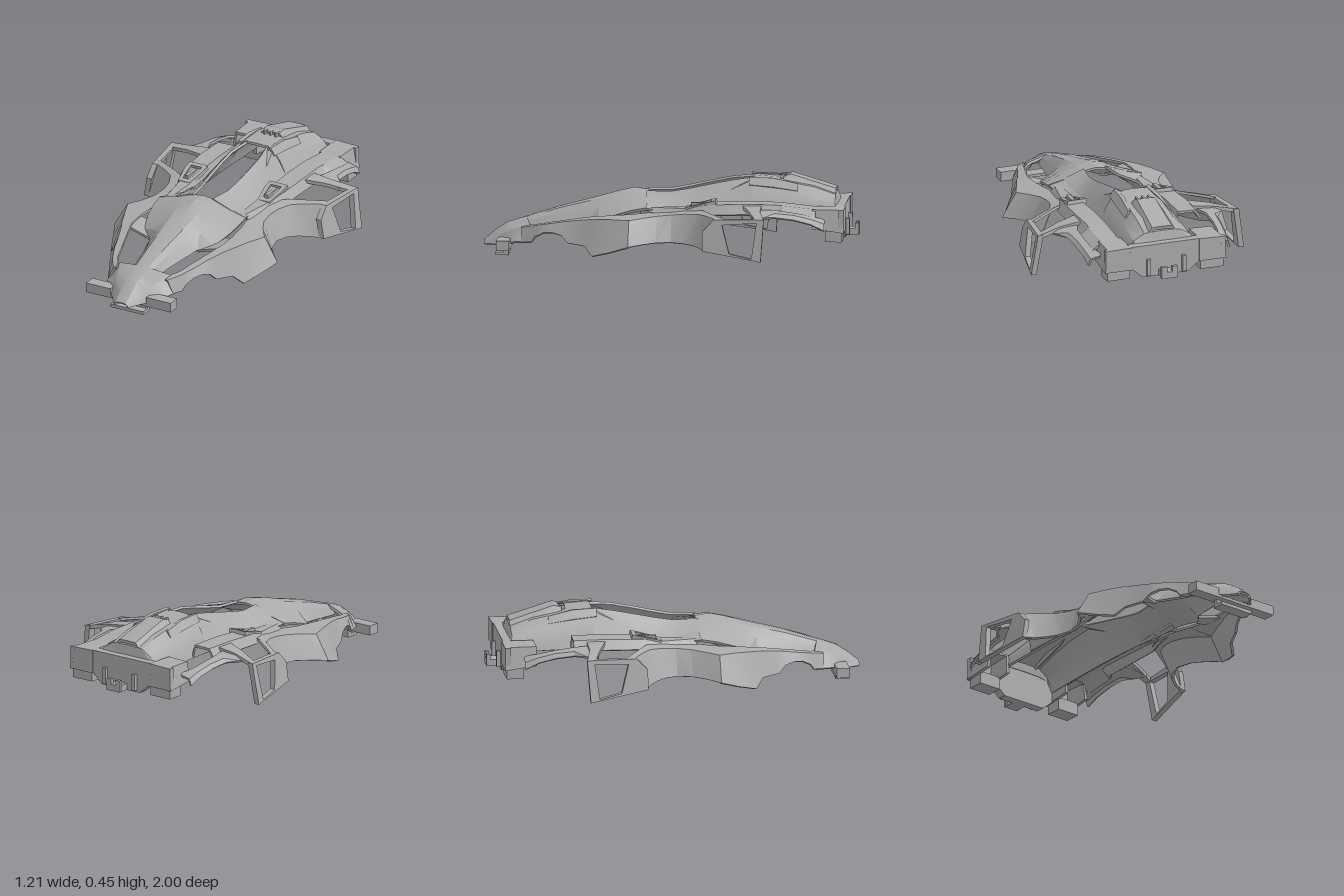
import * as THREE from 'three';
import { toCreasedNormals } from 'three/addons/utils/BufferGeometryUtils.js';

const bodyGrey = new THREE.MeshStandardMaterial({ color: 0xaaaaaa, side: THREE.DoubleSide });
bodyGrey.name = 'body grey';

// Thin sheet with thickness, lofted through rows of [x, y, z] points (rows run backwards, points outwards)
function shell(rows, t = 0.014) {
  const n = rows.length, m = rows[0].length, count = n * m;
  const pos = rows.flat(2), index = [];
  for (let i = 0; i < n - 1; i++) for (let j = 0; j < m - 1; j++) {
    const a = i * m + j, b = a + 1, c = a + m, d = c + 1;
    index.push(a, b, c, b, d, c);
  }
  const top = new THREE.BufferGeometry();
  top.setAttribute('position', new THREE.Float32BufferAttribute(pos, 3));
  top.setIndex(index);
  top.computeVertexNormals();
  const nor = top.attributes.normal.array;
  const all = [...pos, ...pos.map((v, k) => v - nor[k] * t)];
  const faces = [...index];
  for (let k = 0; k < index.length; k += 3) faces.push(index[k] + count, index[k + 2] + count, index[k + 1] + count);
  // rim around the border
  const border = [];
  for (let j = 0; j < m - 1; j++) border.push(j);
  for (let i = 0; i < n - 1; i++) border.push(i * m + m - 1);
  for (let j = m - 1; j > 0; j--) border.push((n - 1) * m + j);
  for (let i = n - 1; i > 0; i--) border.push(i * m);
  border.forEach((a, k) => {
    const b = border[(k + 1) % border.length];
    faces.push(a, a + count, b, b, a + count, b + count);
  });
  const g = new THREE.BufferGeometry();
  g.setAttribute('position', new THREE.Float32BufferAttribute(all, 3));
  g.setIndex(faces);
  return g;
}

// Rows given as [z, x1, y1, x2, y2, ...]
const sections = (list) => list.map(([z, ...p]) => {
  const row = [];
  for (let k = 0; k < p.length; k += 2) row.push([p[k], p[k + 1], z]);
  return row;
});
// Complete a half section across the centre line
const full = (rows) => rows.map((r) => [...r.slice(1).reverse().map(([x, y, z]) => [-x, y, z]), ...r]);

function mirrored(geo) {
  const g = geo.index ? geo.toNonIndexed() : geo.clone();
  const p = g.attributes.position;
  for (let i = 0; i < p.count; i += 3) {
    const v = [0, 2, 1].map((k) => [-p.getX(i + k), p.getY(i + k), p.getZ(i + k)]);
    v.forEach((q, k) => p.setXYZ(i + k, ...q));
  }
  return g;
}
const poly = (Type, pts) => new Type(pts.map(([x, y]) => new THREE.Vector2(x, y)));
const box = (x0, x1, y0, y1, z0, z1) => new THREE.BoxGeometry(x1 - x0, y1 - y0, z1 - z0)
  .translate((x0 + x1) / 2, (y0 + y1) / 2, (z0 + z1) / 2);

export function createModel() {
  const model = new THREE.Group();
  model.name = 'raceCarBodyShell';
  const add = (name, geo) => {
    const mesh = new THREE.Mesh(toCreasedNormals(geo, 0.33), bodyGrey);
    mesh.name = name;
    model.add(mesh);
  };
  const pair = (name, geo) => { add(name + 'Left', geo); add(name + 'Right', mirrored(geo)); };

  // Nose and tapering spine
  add('noseCone', shell(full([
    ...sections([
      [1.0, 0, 0.075, 0.03, 0.072, 0.038, 0.065, 0.045, 0.055],
      [0.94, 0, 0.125, 0.033, 0.12, 0.065, 0.09, 0.085, 0.058],
      [0.88, 0, 0.165, 0.035, 0.16, 0.1, 0.125, 0.14, 0.07],
      [0.83, 0, 0.182, 0.036, 0.178, 0.12, 0.15, 0.185, 0.085]]),
    [[0, 0.2, 0.77], [0.038, 0.197, 0.77], [0.15, 0.173, 0.745], [0.217, 0.09, 0.745]]])));
  add('spine', shell(full(sections([
    [0.79, 0, 0.194, 0.036, 0.19, 0.055, 0.175, 0.07, 0.14],
    [0.6, 0, 0.255, 0.046, 0.25, 0.075, 0.22, 0.105, 0.165],
    [0.44, 0, 0.297, 0.056, 0.29, 0.1, 0.25, 0.145, 0.19],
    [0.38, 0, 0.313, 0.06, 0.305, 0.125, 0.262, 0.215, 0.21],
    [0.28, 0, 0.342, 0.066, 0.33, 0.14, 0.29, 0.25, 0.245],
    [0.2, 0, 0.36, 0.07, 0.345, 0.15, 0.308, 0.262, 0.27],
    [0.12, 0, 0.35, 0.075, 0.34, 0.155, 0.312, 0.265, 0.285]]))));

  // Front bumper and its lower bracket
  add('bumperBar', box(-0.26, 0.26, 0.045, 0.06, 0.85, 0.92));
  pair('bumperPad', box(0.11, 0.26, 0.045, 0.098, 0.85, 0.92));
  add('bracketStem', box(-0.1, 0.1, 0.01, 0.05, 0.865, 0.89));
  add('bracketFoot', box(-0.1, 0.1, 0, 0.018, 0.865, 0.935));

  // Front fenders with wheel cutouts
  pair('frontFender', shell(sections([
    [0.79, 0.15, 0.163, 0.165, 0.16, 0.2, 0.09],
    [0.735, 0.17, 0.178, 0.205, 0.173, 0.228, 0.09],
    [0.715, 0.185, 0.181, 0.215, 0.177, 0.236, 0.12],
    [0.67, 0.2, 0.189, 0.235, 0.187, 0.257, 0.145],
    [0.62, 0.213, 0.199, 0.255, 0.196, 0.28, 0.15],
    [0.57, 0.23, 0.208, 0.27, 0.206, 0.302, 0.138],
    [0.535, 0.24, 0.215, 0.283, 0.212, 0.32, 0.1],
    [0.44, 0.268, 0.232, 0.32, 0.225, 0.365, 0.09],
    [0.4, 0.278, 0.238, 0.34, 0.23, 0.41, 0.042],
    [0.3, 0.28, 0.245, 0.38, 0.236, 0.455, 0.07],
    [0.2, 0.27, 0.25, 0.42, 0.237, 0.5, 0.105]])));
  pair('fenderBridge', shell(sections([
    [0.43, 0.14, 0.187, 0.285, 0.23], [0.36, 0.19, 0.21, 0.295, 0.236], [0.3, 0.235, 0.228, 0.295, 0.24]])));

  // Concave waist panels ending in the raked front wall of the side pod
  pair('waistPanel', shell([
    ...sections([
      [0.2, 0.27, 0.25, 0.42, 0.237, 0.5, 0.105],
      [0.13, 0.26, 0.257, 0.37, 0.243, 0.435, 0.11],
      [0.06, 0.25, 0.262, 0.335, 0.25, 0.39, 0.115],
      [-0.02, 0.25, 0.268, 0.325, 0.257, 0.37, 0.115],
      [-0.09, 0.27, 0.275, 0.335, 0.263, 0.39, 0.112]]),
    [[0.3, 0.28, -0.16], [0.37, 0.268, -0.165], [0.43, 0.107, -0.14]],
    [[0.34, 0.284, -0.19], [0.43, 0.268, -0.21], [0.48, 0.1, -0.18]],
    [[0.47, 0.272, -0.275], [0.51, 0.262, -0.265], [0.552, 0.095, -0.205]],
    [[0.52, 0.266, -0.31], [0.53, 0.26, -0.31], [0.56, 0.09, -0.25]]]));

  // Side pod frames with an open window, leaning outwards at the foot
  const frame = poly(THREE.Shape, [[0.2, 0.095], [0.515, 0.045], [0.53, 0.27], [0.26, 0.262], [0.2, 0.2]]);
  frame.holes.push(poly(THREE.Path, [[0.305, 0.235], [0.49, 0.25], [0.465, 0.06], [0.345, 0.085]]));
  const frameGeo = new THREE.ExtrudeGeometry(frame, { depth: 0.03, bevelEnabled: false });
  const fp = frameGeo.attributes.position;
  for (let i = 0; i < fp.count; i++) {
    const s = fp.getX(i), y = fp.getY(i), d = fp.getZ(i);
    fp.setXYZ(i, 0.53 + 0.14 * (s - 0.2) - 0.16 * (y - 0.05) + d, y, -s);
  }
  pair('podFrame', frameGeo);
  pair('podArm', shell([
    [[0.32, 0.308, -0.4], [0.43, 0.295, -0.44], [0.545, 0.268, -0.48]],
    [[0.32, 0.308, -0.5], [0.43, 0.294, -0.5], [0.575, 0.268, -0.53]]], 0.02));

  // Rear wheel arch strips
  pair('rearArch', shell(sections([
    [-0.46, 0.33, 0.288, 0.44, 0.283, 0.5, 0.27],
    [-0.52, 0.345, 0.292, 0.43, 0.285, 0.475, 0.268],
    [-0.58, 0.365, 0.293, 0.415, 0.283, 0.432, 0.263],
    [-0.68, 0.367, 0.28, 0.405, 0.272, 0.422, 0.25],
    [-0.77, 0.36, 0.262, 0.398, 0.25, 0.412, 0.225],
    [-0.84, 0.32, 0.24, 0.39, 0.225, 0.405, 0.19]])));

  // Cockpit flanks either side of the opening
  pair('cockpitFlank', shell(sections([
    [0.13, 0.062, 0.35, 0.1, 0.335, 0.18, 0.305, 0.265, 0.285],
    [0, 0.08, 0.35, 0.115, 0.325, 0.17, 0.285, 0.23, 0.26],
    [-0.1, 0.087, 0.368, 0.12, 0.335, 0.165, 0.285, 0.21, 0.25],
    [-0.2, 0.09, 0.39, 0.125, 0.352, 0.165, 0.287, 0.2, 0.245],
    [-0.32, 0.088, 0.414, 0.13, 0.367, 0.168, 0.292, 0.2, 0.245],
    [-0.45, 0.062, 0.43, 0.1, 0.424, 0.174, 0.3, 0.2, 0.245]])));

  // Engine cover, roof rails and tail box
  add('engineCover', shell(full(sections([
    [-0.44, 0, 0.432, 0.095, 0.427, 0.145, 0.36, 0.175, 0.3, 0.2, 0.245],
    [-0.6, 0, 0.42, 0.098, 0.415, 0.15, 0.35, 0.18, 0.295, 0.2, 0.24],
    [-0.76, 0, 0.39, 0.1, 0.385, 0.155, 0.33, 0.185, 0.285, 0.2, 0.235],
    [-0.88, 0, 0.35, 0.1, 0.345, 0.16, 0.31, 0.185, 0.27, 0.2, 0.23],
    [-0.892, 0, 0.298, 0.1, 0.296, 0.16, 0.29, 0.185, 0.26, 0.2, 0.23]]))));
  pair('roofRail', shell(sections([
    [-0.42, 0.08, 0.43, 0.1, 0.434, 0.125, 0.395],
    [-0.55, 0.085, 0.428, 0.107, 0.43, 0.135, 0.385],
    [-0.68, 0.105, 0.402, 0.115, 0.402, 0.135, 0.366]])));
  add('tailBox', shell(full(sections([
    [-0.6, 0, 0.434, 0.05, 0.434, 0.07, 0.415],
    [-0.64, 0, 0.447, 0.05, 0.445, 0.075, 0.4],
    [-0.88, 0, 0.373, 0.055, 0.371, 0.085, 0.335]])), 0.02));
  for (const x of [-0.035, 0, 0.035]) add('scoopFin', box(x - 0.005, x + 0.005, 0.405, 0.44, -0.65, -0.58));

  // Raised side decks, the left one running further back
  const deck = (back) => shell(sections([
    [0.1, 0.2, 0.275, 0.21, 0.285, 0.24, 0.285, 0.262, 0.26],
    [-0.08, 0.185, 0.25, 0.205, 0.288, 0.27, 0.285, 0.29, 0.255],
    [-0.2, 0.19, 0.25, 0.21, 0.312, 0.305, 0.308, 0.335, 0.26],
    [-0.4, 0.19, 0.25, 0.21, 0.32, 0.315, 0.317, 0.345, 0.265],
    [-0.57, 0.19, 0.25, 0.21, 0.317, 0.31, 0.314, 0.345, 0.265],
    ...back]));
  add('sideDeckLeft', deck([
    [-0.61, 0.19, 0.248, 0.21, 0.314, 0.315, 0.311, 0.375, 0.27],
    [-0.79, 0.19, 0.235, 0.21, 0.295, 0.31, 0.292, 0.37, 0.245]]));
  add('sideDeckRight', mirrored(deck([])));

  // Intake surrounds with a centre pin
  const surround = poly(THREE.Shape, [[-0.035, -0.085], [0.035, -0.085], [0.055, 0.02], [0.055, 0.08], [-0.055, 0.08], [-0.055, 0.02]]);
  surround.holes.push(poly(THREE.Path, [[-0.02, -0.06], [-0.033, 0.055], [0.033, 0.055], [0.02, -0.06]]));
  pair('intakeSurround', new THREE.ExtrudeGeometry(surround, { depth: 0.025, bevelEnabled: false })
    .rotateX(-Math.PI / 2 + 0.25).translate(0.245, 0.288, -0.18));
  pair('intakePin', box(0.235, 0.255, 0.28, 0.315, -0.22, -0.12));

  // Rear block: tail plate, corner boxes, lugs and hook
  const plate = poly(THREE.Shape, [[-0.2, 0.297], [0.2, 0.297], [0.2, 0.18], [0.13, 0.12], [-0.13, 0.12], [-0.2, 0.18]]);
  add('tailPlate', new THREE.ExtrudeGeometry(plate, { depth: 0.05, bevelEnabled: false }).translate(0, 0, -0.935));
  pair('cornerBox', shell(sections([
    [-0.77, 0.19, 0.19, 0.195, 0.295, 0.32, 0.292, 0.34, 0.19],
    [-0.94, 0.19, 0.17, 0.195, 0.297, 0.325, 0.293, 0.345, 0.17]]), 0.018));
  pair('cornerBack', box(0.19, 0.34, 0.17, 0.293, -0.94, -0.91));
  pair('cornerTab', box(0.2, 0.33, 0.12, 0.19, -0.93, -0.84));
  pair('tailLug', box(0.09, 0.11, 0.13, 0.22, -0.955, -0.93));
  add('hookArm', box(-0.04, 0.04, 0.12, 0.155, -1, -0.93));
  pair('hookTip', box(0.015, 0.045, 0.12, 0.185, -1, -0.98));

  return model;
}
